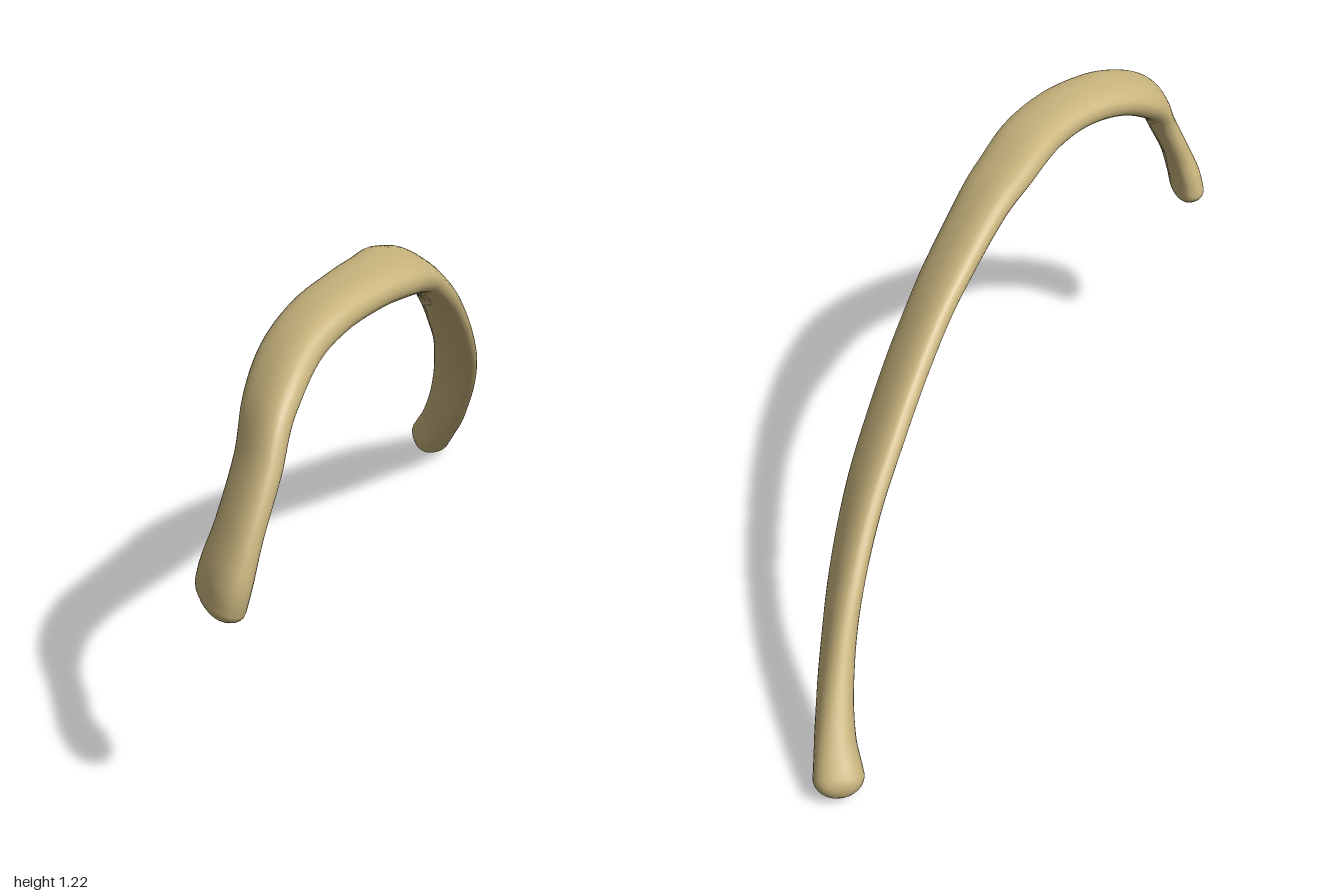
import * as THREE from 'three';

// Stations along the bone: centre x, y, z, half width, half thickness
const stations = [
  [-0.70, 0.64, 0.885, 0.105, 0.050],
  [-0.685, 0.70, 0.890, 0.106, 0.049],
  [-0.645, 0.80, 0.875, 0.095, 0.042],
  [-0.585, 0.92, 0.830, 0.092, 0.042],
  [-0.53, 1.03, 0.765, 0.093, 0.045],
  [-0.44, 1.115, 0.665, 0.095, 0.047],
  [-0.33, 1.165, 0.580, 0.097, 0.047],
  [-0.20, 1.182, 0.485, 0.098, 0.047],
  [-0.08, 1.170, 0.375, 0.102, 0.048],
  [0.02, 1.137, 0.250, 0.105, 0.047],
  [0.12, 1.082, 0.130, 0.104, 0.045],
  [0.25, 0.970, -0.030, 0.104, 0.042],
  [0.35, 0.855, -0.160, 0.105, 0.041],
  [0.45, 0.720, -0.310, 0.106, 0.040],
  [0.54, 0.580, -0.460, 0.102, 0.039],
  [0.61, 0.430, -0.610, 0.098, 0.039],
  [0.655, 0.280, -0.740, 0.088, 0.043],
  [0.678, 0.160, -0.850, 0.076, 0.052],
  [0.682, 0.075, -0.928, 0.069, 0.067],
];

// Sweep a soft-cornered flat section along the curve, with domed ends
function sweepBone(sides, steps, capSteps) {
  const path = new THREE.CatmullRomCurve3(
    stations.map(([x, y, z]) => new THREE.Vector3(x, y, z)), false, 'catmullrom');
  const sizes = new THREE.CatmullRomCurve3(
    stations.map((s) => new THREE.Vector3(s[3], s[4], 0)), false, 'catmullrom');

  // Ring list: curve parameter, section scale, offset along the tangent
  const rings = [];
  for (let k = 0; k < capSteps; k++) {
    const a = (k / capSteps) * Math.PI / 2;
    rings.push([0, Math.sin(a), -0.042 * Math.cos(a)]);
  }
  for (let i = 0; i <= steps; i++) rings.push([i / steps, 1, 0]);
  for (let k = 1; k <= capSteps; k++) {
    const a = (k / capSteps) * Math.PI / 2;
    rings.push([1, Math.cos(a), 0.055 * Math.sin(a)]);
  }

  const soft = (v) => Math.sign(v) * Math.abs(v) ** 0.85;
  const positions = [];
  for (const [u, scale, offset] of rings) {
    const tangent = path.getTangent(u);
    const thin = new THREE.Vector3(-tangent.y, tangent.x, 0).normalize();
    const wide = new THREE.Vector3().crossVectors(tangent, thin);
    const centre = path.getPoint(u).addScaledVector(tangent, offset);
    const size = sizes.getPoint(u);
    for (let j = 0; j < sides; j++) {
      const a = (j / sides) * Math.PI * 2;
      const p = centre.clone()
        .addScaledVector(thin, soft(Math.cos(a)) * size.y * scale)
        .addScaledVector(wide, soft(Math.sin(a)) * size.x * scale);
      positions.push(p.x, p.y, p.z);
    }
  }

  const index = [];
  for (let i = 0; i < rings.length - 1; i++) {
    for (let j = 0; j < sides; j++) {
      const n = (j + 1) % sides;
      const a = i * sides + j, b = i * sides + n;
      index.push(a, b, a + sides, b, b + sides, a + sides);
    }
  }
  const geometry = new THREE.BufferGeometry();
  geometry.setAttribute('position', new THREE.Float32BufferAttribute(positions, 3));
  geometry.setIndex(index);
  geometry.computeVertexNormals();
  return geometry;
}

export function createModel() {
  const group = new THREE.Group();
  group.name = 'rib';
  const bone = new THREE.MeshStandardMaterial({ color: 0xc9b57e });
  bone.name = 'bone';
  const shaft = new THREE.Mesh(sweepBone(32, 120, 8), bone);
  shaft.name = 'ribBone';
  group.add(shaft);
  return group;
}
